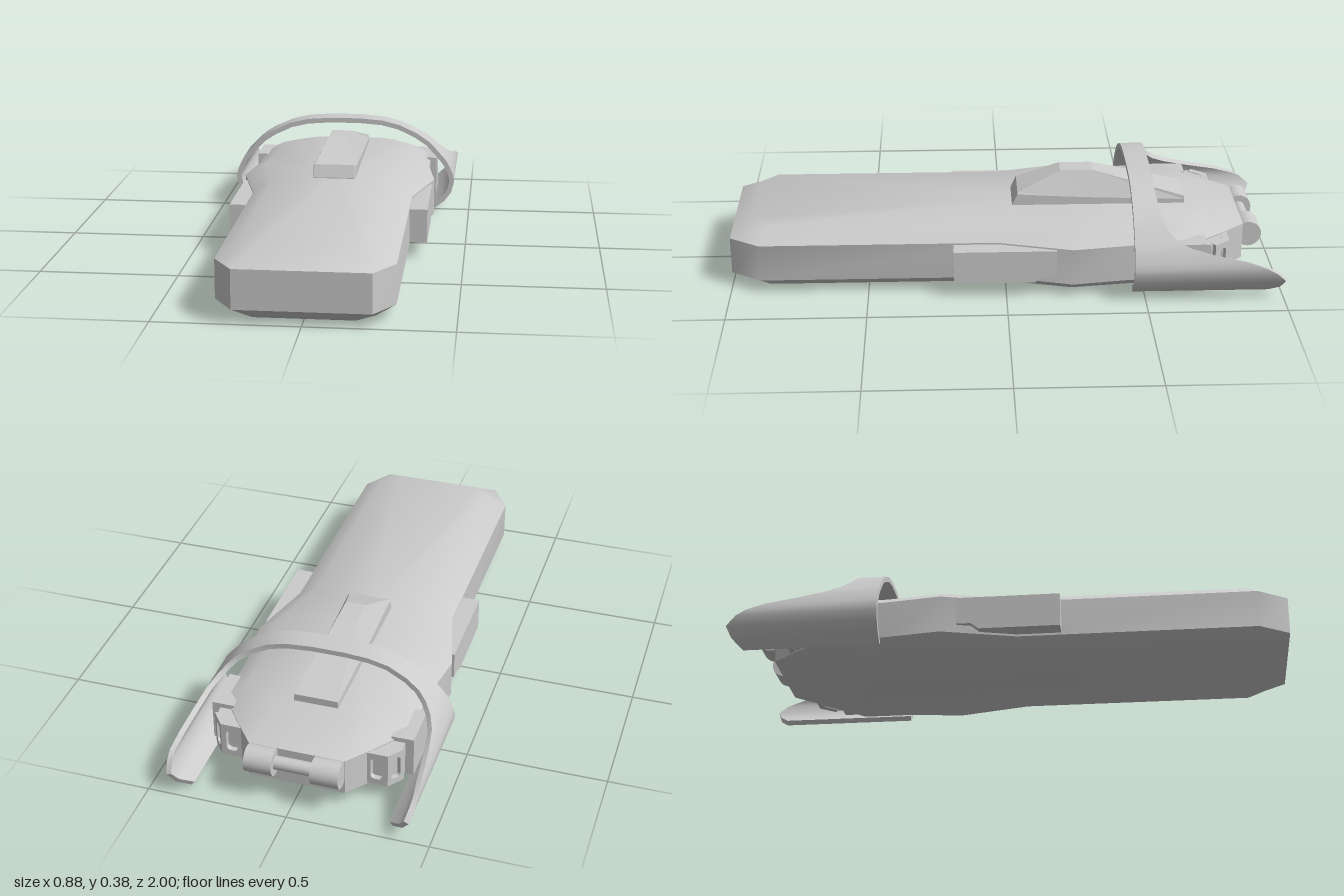
import * as THREE from 'three';
import { toCreasedNormals } from 'three/addons/utils/BufferGeometryUtils.js';

const grey = new THREE.MeshStandardMaterial({ color: 0xcccccc });

function add(parent, name, geometry) {
  const mesh = new THREE.Mesh(geometry, grey);
  mesh.name = name;
  parent.add(mesh);
  return mesh;
}

// Skin a list of equal-length rings (counter-clockwise about the travel direction) and cap both ends
function loft(rings, crease) {
  const pos = [];
  const tri = (...pts) => pts.forEach((p) => pos.push(...p));
  const n = rings[0].length;
  for (let k = 0; k < rings.length - 1; k++) {
    for (let i = 0; i < n; i++) {
      const j = (i + 1) % n;
      const a = rings[k][i], b = rings[k][j], c = rings[k + 1][j], d = rings[k + 1][i];
      tri(a, b, c);
      tri(a, c, d);
    }
  }
  const cap = (ring, flip) => {
    const m = [0, 1, 2].map((c) => ring.reduce((s, p) => s + p[c], 0) / n);
    for (let i = 0; i < n; i++) {
      const p = ring[i], q = ring[(i + 1) % n];
      flip ? tri(m, q, p) : tri(m, p, q);
    }
  };
  cap(rings[0], true);
  cap(rings[rings.length - 1], false);
  const g = new THREE.BufferGeometry();
  g.setAttribute('position', new THREE.Float32BufferAttribute(pos, 3));
  return toCreasedNormals(g, crease);
}

function polygon(points) {
  return new THREE.Shape(points.map(([x, y]) => new THREE.Vector2(x, y)));
}

function extrude(shape, depth) {
  return new THREE.ExtrudeGeometry(shape, { depth, bevelEnabled: false, curveSegments: 5 });
}

// Long chamfered hull: half outlines (x, z) of the walls and of the inset top and bottom
function buildHull(group) {
  const wall = [[0.23, 1], [0.3, 0.89], [0.3, 0.03], [0.37, -0.24], [0.34, -0.45],
    [0.34, -0.66], [0.25, -0.78], [0.17, -0.88]];
  const inset = [[0.17, 0.92], [0.23, 0.86], [0.23, 0.02], [0.295, -0.24], [0.27, -0.45],
    [0.27, -0.62], [0.19, -0.7], [0.13, -0.74]];
  const ring = (half, y) => [
    ...half.map(([x, z]) => [x, y, z]),
    ...[...half].reverse().map(([x, z]) => [-x, y, z]),
  ];
  add(group, 'hull', loft([ring(inset, 0), ring(wall, 0.05), ring(wall, 0.188), ring(inset, 0.235)], 0.7));
}

// Faceted dorsal fin, from rear to front: z, shoulder height, ridge half-width, ridge height
function buildFin(group) {
  const w = 0.08;
  const rings = [
    [-0.67, 0.25, 0.078, 0.262],
    [-0.33, 0.262, 0.038, 0.355],
    [-0.21, 0.268, 0.038, 0.355],
    [-0.05, 0.278, 0.076, 0.284],
    [-0.03, 0.236, 0.076, 0.238],
  ].map(([z, ys, r, yr]) => [
    [w, 0.2, z], [w, ys, z], [r, yr, z], [-r, yr, z], [-w, ys, z], [-w, 0.2, z],
  ]);
  add(group, 'dorsalFin', loft(rings, 0.1));
}

// Arched guard: x, y of the outer face and z of the rear edge
function buildGuard(group) {
  const half = [
    [0.36, 0.013, -0.95], [0.402, 0.045, -0.985], [0.428, 0.08, -1], [0.438, 0.115, -0.965],
    [0.44, 0.135, -0.93], [0.433, 0.16, -0.86], [0.422, 0.185, -0.74], [0.41, 0.208, -0.655],
    [0.39, 0.232, -0.605], [0.365, 0.26, -0.575], [0.335, 0.29, -0.558], [0.29, 0.32, -0.548],
    [0.22, 0.353, -0.54], [0.15, 0.37, -0.54], [0.06, 0.377, -0.54],
  ];
  const path = [...half, ...[...half].reverse().map(([x, y, z]) => [-x, y, z])];
  const thick = 0.019, front = -0.455;
  const rings = path.map(([x, y, rear], i) => {
    const p = path[Math.max(i - 1, 0)], q = path[Math.min(i + 1, path.length - 1)];
    const t = new THREE.Vector2(q[0] - p[0], q[1] - p[1]).normalize();
    const ix = x - t.y * thick, iy = y + t.x * thick;
    return [[ix, iy, front], [x, y, front], [x, y, rear], [ix, iy, rear]];
  });
  add(group, 'archedGuard', loft(rings, 0.6));
}

// Upright panel with a rounded window, spanning plan points a to b and facing away from the hull
function windowPanel(group, a, b) {
  const w = Math.hypot(b[0] - a[0], b[1] - a[1]), h = 0.13, depth = 0.025;
  const shape = polygon([[-w / 2, -h / 2], [w / 2, -h / 2], [w / 2, h / 2], [-w / 2, h / 2]]);
  const hw = w * 0.27, hh = 0.042, r = hw * 0.7;
  const hole = new THREE.Path();
  [[hw - r, hh - r, 0], [-hw + r, hh - r, 1], [-hw + r, -hh + r, 2], [hw - r, -hh + r, 3]].forEach(
    ([x, y, k]) => hole.absarc(x, y, r, k * Math.PI / 2, (k + 1) * Math.PI / 2, false));
  shape.holes.push(hole);
  const nx = (b[1] - a[1]) / w, nz = -(b[0] - a[0]) / w;
  const panel = add(group, 'windowPanel', extrude(shape, depth));
  panel.position.set((a[0] + b[0]) / 2 - nx * depth, 0.12, (a[1] + b[1]) / 2 - nz * depth);
  panel.rotation.y = Math.atan2(nx, nz);
}

// Parts found on each flank, made for +x
function buildFlank(group, side) {
  const flank = new THREE.Group();
  flank.name = side > 0 ? 'leftFlank' : 'rightFlank';
  flank.scale.x = side;
  group.add(flank);

  // Side block with a stepped lower rear corner
  const block = extrude(polygon([[0.19, 0.058], [0.19, 0.182], [-0.18, 0.182], [-0.18, 0.08],
    [-0.13, 0.08], [-0.1, 0.058]].reverse()), 0.09);
  block.rotateY(-Math.PI / 2).translate(0.364, 0, 0);
  add(flank, 'sideBlock', block);

  // Mount between hull and guard
  const mount = add(flank, 'guardMount', new THREE.BoxGeometry(0.08, 0.15, 0.17));
  mount.position.set(0.325, 0.125, -0.635);

  // Rear pod with two windows
  const core = extrude(polygon([[0.18, 0.66], [0.335, 0.66], [0.335, 0.74], [0.29, 0.79], [0.18, 0.79]]), 0.126);
  core.rotateX(-Math.PI / 2).translate(0, 0.057, 0);
  add(flank, 'rearPod', core);
  windowPanel(flank, [0.22, -0.81], [0.3, -0.81]);
  windowPanel(flank, [0.3, -0.81], [0.342, -0.755]);

  // Rear roller
  const roller = add(flank, 'rearRoller', new THREE.CylinderGeometry(0.048, 0.048, 0.1, 24));
  roller.rotation.z = Math.PI / 2;
  roller.position.set(0.118, 0.145, -0.902);
}

export function createModel() {
  const model = new THREE.Group();
  model.name = 'model';
  buildHull(model);
  buildFin(model);
  buildGuard(model);
  [1, -1].forEach((side) => buildFlank(model, side));

  // Axle joining the two rollers
  const axle = add(model, 'rollerAxle', new THREE.CylinderGeometry(0.024, 0.024, 0.16, 16));
  axle.rotation.z = Math.PI / 2;
  axle.position.set(0, 0.145, -0.902);
  return model;
}
